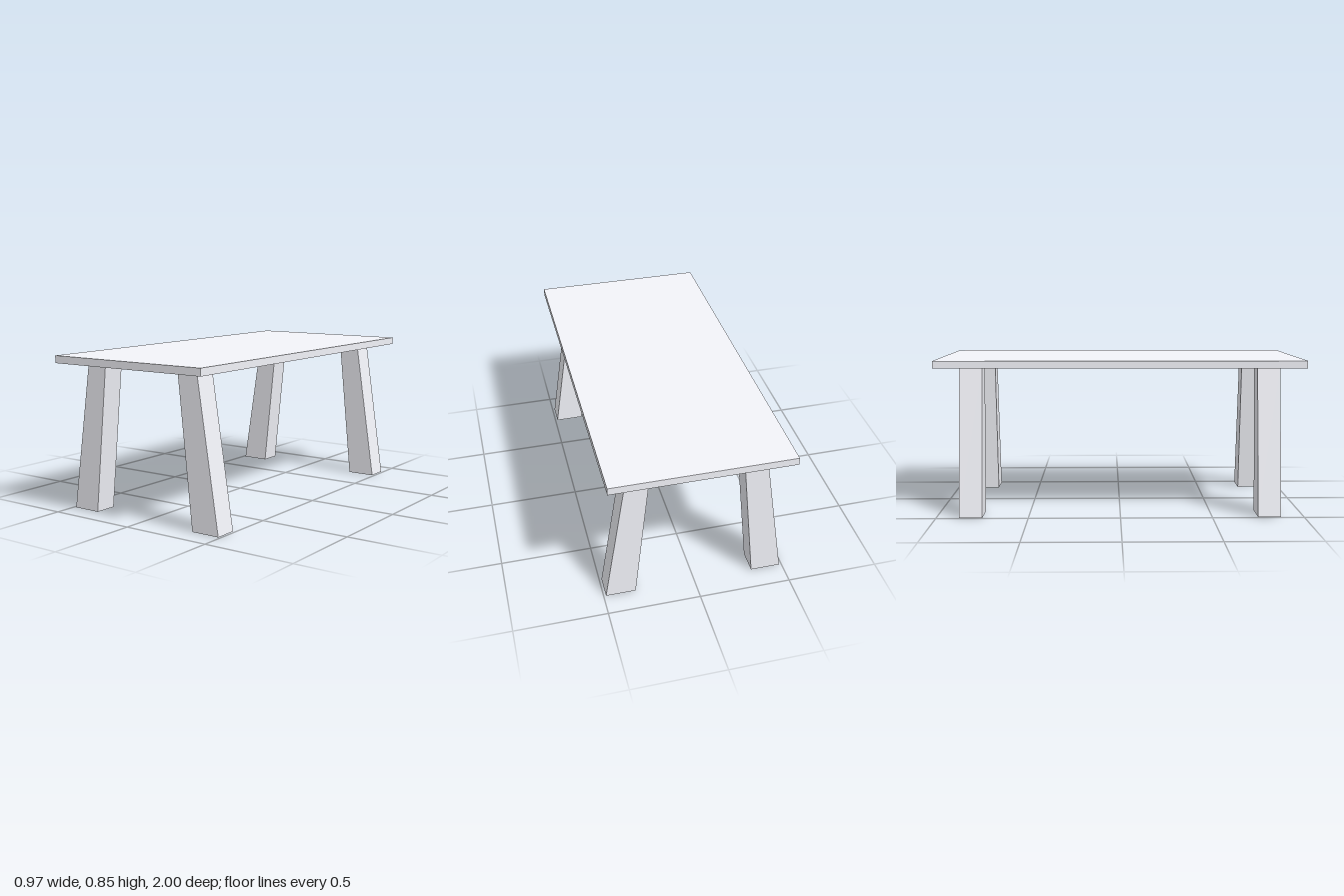
import * as THREE from 'three';

const TOP_Y = 0.85, THICKNESS = 0.04, LEG_H = TOP_Y - THICKNESS;
const LEG_DEPTH = 0.125, LEG_Z = 0.8125;

// Splayed, tapering leg: a trapezoid in x/y, straight in z
function legGeometry(side) {
  const outline = [[0.325, 0], [0.487, 0], [0.361, LEG_H], [0.241, LEG_H]];
  const shape = new THREE.Shape(outline.map(([x, y]) => new THREE.Vector2(side * x, y)));
  const geometry = new THREE.ExtrudeGeometry(shape, { depth: LEG_DEPTH, bevelEnabled: false });
  return geometry.translate(0, 0, -LEG_DEPTH / 2);
}

export function createModel() {
  const table = new THREE.Group();
  table.name = 'table';
  // Pale, slightly cool white
  const material = new THREE.MeshStandardMaterial({ color: 0xf3f4fa });

  // Flat top
  const top = new THREE.Mesh(new THREE.BoxGeometry(0.962, THICKNESS, 2), material);
  top.name = 'tableTop';
  top.position.y = TOP_Y - THICKNESS / 2;
  table.add(top);

  // Four legs, mirrored left/right and front/back
  for (const [xName, side] of [['Left', 1], ['Right', -1]]) {
    const geometry = legGeometry(side);
    for (const [zName, end] of [['front', 1], ['back', -1]]) {
      const leg = new THREE.Mesh(geometry, material);
      leg.name = `${zName}${xName}Leg`;
      leg.position.z = end * LEG_Z;
      table.add(leg);
    }
  }
  return table;
}
